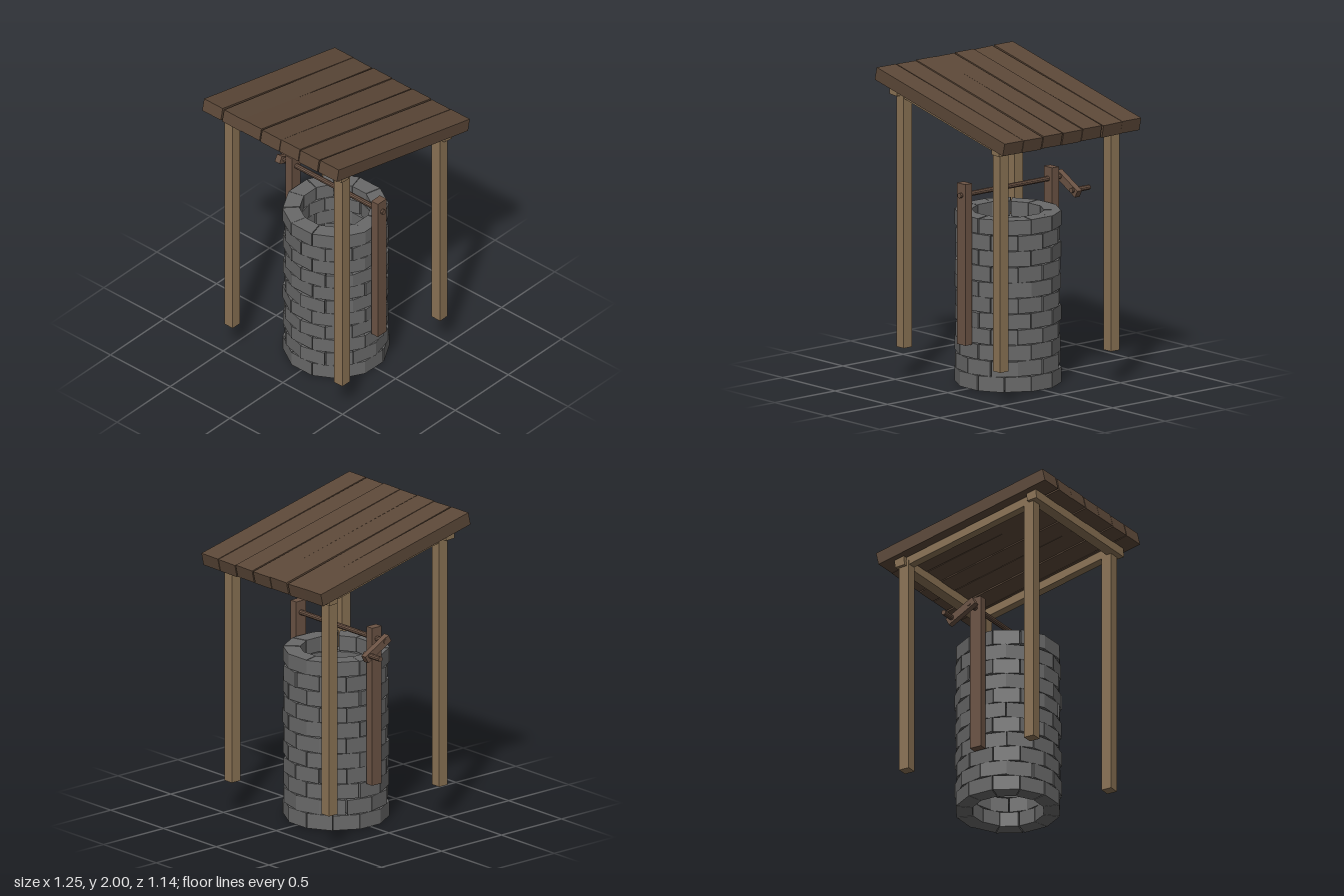
import * as THREE from 'three';

const paint = (color) => new THREE.MeshStandardMaterial({ color, flatShading: true });

// Small seeded generator for hand-laid irregularity, returns -1..1
function makeJitter(seed) {
  return () => {
    seed = (seed * 16807) % 2147483647;
    return (seed / 2147483647) * 2 - 1;
  };
}

// Wedge-shaped stone: a box whose width becomes an angle and depth a radius
function stoneGeometry(angle, span, inner, outer, height) {
  const g = new THREE.BoxGeometry(1, height, 1);
  const p = g.attributes.position;
  for (let i = 0; i < p.count; i++) {
    const a = angle + p.getX(i) * span;
    const r = p.getZ(i) > 0 ? outer : inner;
    p.setXYZ(i, Math.sin(a) * r, p.getY(i), Math.cos(a) * r);
  }
  g.computeVertexNormals();
  return g;
}

export function createModel() {
  const model = new THREE.Group();
  const stone = paint(0x696969);
  const frameWood = paint(0x8b7355);
  const winchWood = paint(0x6b5344);
  const roofWood = paint(0x5c4838);

  const add = (parent, name, geometry, material, x, y, z) => {
    const mesh = new THREE.Mesh(geometry, material);
    mesh.name = name;
    mesh.position.set(x, y, z);
    parent.add(mesh);
    return mesh;
  };
  const group = (name) => {
    const g = new THREE.Group();
    g.name = name;
    model.add(g);
    return g;
  };
  const box = (w, h, d) => new THREE.BoxGeometry(w, h, d);

  // Stone shaft: staggered rings of wedge stones
  const shaft = group('stoneShaft');
  const jitter = makeJitter(4711);
  const rings = 11, perRing = 12, pitch = 0.1007, step = (Math.PI * 2) / perRing;
  for (let r = 0; r < rings; r++) {
    for (let i = 0; i < perRing; i++) {
      const angle = (i + (r % 2) * 0.5) * step + jitter() * 0.012;
      const push = jitter() * 0.004;
      const g = stoneGeometry(angle, step * 0.97, 0.227 + push, 0.333 + push, 0.096 + jitter() * 0.002);
      add(shaft, 'stone', g, stone, 0, 0.053 + r * pitch + (r ? jitter() * 0.002 : 0), 0);
    }
  }

  // Roof frame: four posts, two sloping rails, two cross beams
  const slope = -0.225;
  const frame = group('roofFrame');
  const underside = (x) => 1.776 + x * Math.tan(slope);
  for (const x of [-0.46, 0.46]) {
    for (const z of [-0.46, 0.46]) {
      const top = underside(x) - 0.02;
      add(frame, 'roofPost', box(0.07, top - 0.215, 0.07), frameWood, x, (top + 0.215) / 2, z);
    }
  }
  for (const z of [-0.46, 0.46]) {
    add(frame, 'slopingRail', box(1.02, 0.058, 0.06), frameWood, 0, underside(0) - 0.026, z).rotation.z = slope;
  }
  for (const x of [-0.495, 0.478]) {
    add(frame, 'crossBeam', box(0.07, 0.06, 1.04), frameWood, x, underside(x) - 0.026, 0).rotation.z = slope * 0.3;
  }

  // Roof planks, each turned a little
  const roof = group('roof');
  roof.position.y = 1.8175;
  roof.rotation.z = slope;
  const yaw = [-0.002, 0.009, -0.003, -0.001, -0.006, -0.008, -0.005];
  yaw.forEach((turn, i) => {
    const lift = (i % 2) * -0.003;
    const plank = add(roof, 'roofPlank', box(1.26, 0.083, 0.156), roofWood, 0, lift, (i - 3) * 0.1625);
    plank.rotation.y = turn;
    plank.rotation.x = turn * 1.5;
  });

  // Winch: two uprights, axle, crank arm and handle
  const winch = group('winch');
  for (const z of [-0.36, 0.36]) {
    add(winch, 'winchPost', box(0.08, 1.035, 0.055), winchWood, 0, 0.8125, z);
  }
  const rod = (name, radius, z0, z1, x, y) => {
    const g = new THREE.CylinderGeometry(radius, radius, z1 - z0, 10).rotateX(Math.PI / 2);
    add(winch, name, g, winchWood, x, y, (z0 + z1) / 2);
  };
  rod('axle', 0.017, -0.475, 0.405, 0, 1.255);
  rod('crankHandle', 0.017, -0.565, -0.415, 0.125, 1.187);
  add(winch, 'crankArm', box(0.22, 0.05, 0.04), winchWood, 0.06, 1.218, -0.45).rotation.z = -0.5;

  return model;
}
